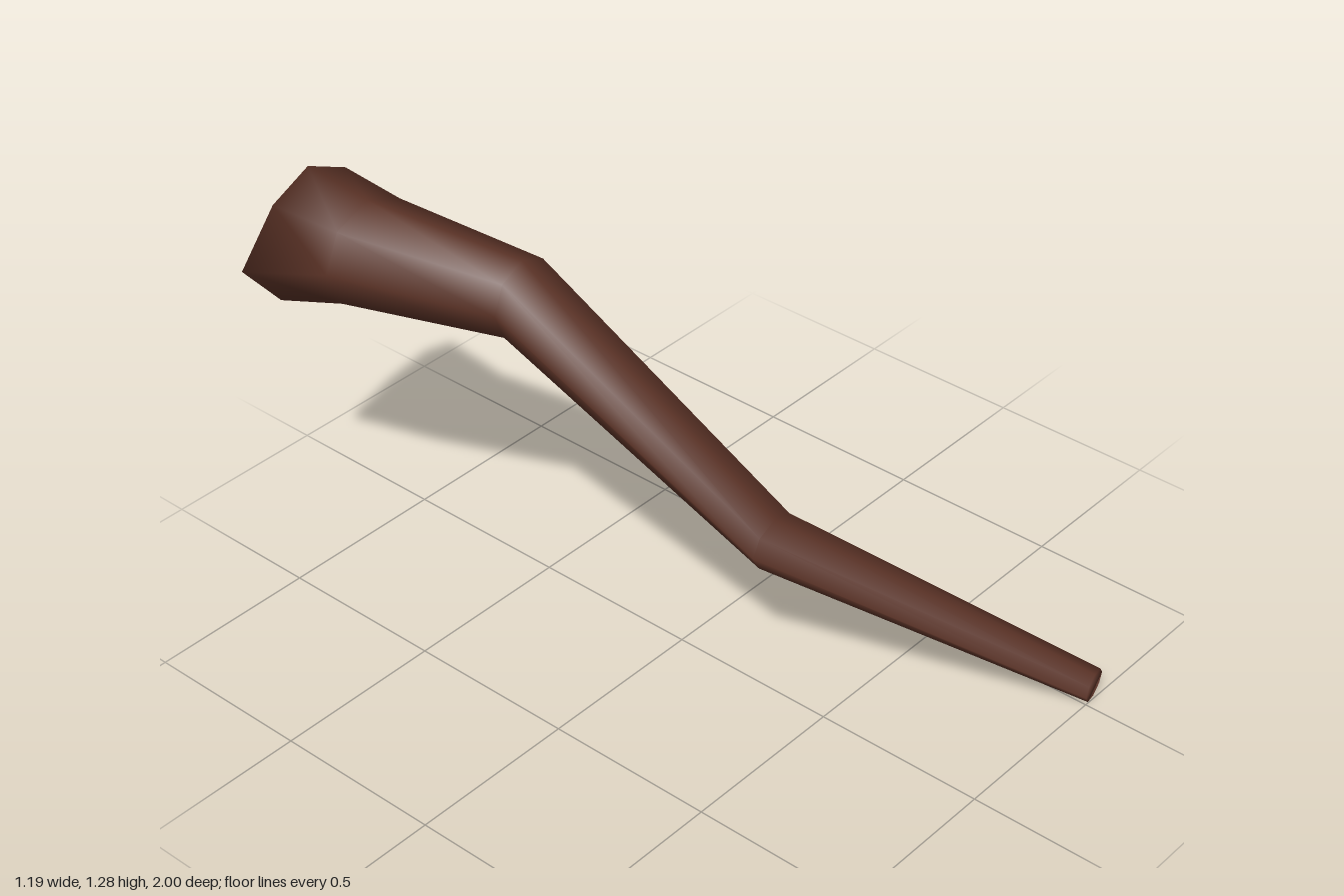
import * as THREE from 'three';

const SIDES = 8;

// Cross-sections from the thin tip to the thick end: centre, radii, and optional
// left-side stretch and tilt of the ring.
const RINGS = [
  { c: [0.545, 0.041, 0.993], rx: 0.046, ry: 0.036, tiltY: 0.3, tiltZ: -0.16 },
  { c: [0.008, 0.495, 0.312], rx: 0.0975, ry: 0.068, tiltZ: -0.1 },
  { c: [-0.213, 1.072, -0.355], rx: 0.115, ry: 0.113, tiltZ: -0.06 },
  { c: [-0.37, 1.128, -0.75], rx: 0.16, ry: 0.153 },
  { c: [-0.345, 1.07, -1], rx: 0.185, ry: 0.207, left: 0.255 },
];

function loftGeometry(rings) {
  const positions = [];
  const index = [];
  for (const { c, rx, ry, left = rx, tiltY = 0, tiltZ = 0 } of rings) {
    for (let j = 0; j < SIDES; j++) {
      const a = (j / SIDES) * Math.PI * 2;
      // only the outermost left corner is stretched
      const dx = Math.cos(a) * (j === SIDES / 2 ? left : rx);
      positions.push(c[0] + dx, c[1] + Math.sin(a) * ry + dx * tiltY, c[2] + dx * tiltZ);
    }
  }
  // side walls
  for (let i = 0; i < rings.length - 1; i++) {
    for (let j = 0; j < SIDES; j++) {
      const k = (j + 1) % SIDES;
      const a = i * SIDES + j, b = i * SIDES + k;
      index.push(a, a + SIDES, b, b, a + SIDES, b + SIDES);
    }
  }
  // end caps share the rim so shading stays smooth
  const last = (rings.length - 1) * SIDES;
  for (let j = 1; j < SIDES - 1; j++) {
    index.push(0, j, j + 1);
    index.push(last, last + j + 1, last + j);
  }
  const geometry = new THREE.BufferGeometry();
  geometry.setAttribute('position', new THREE.Float32BufferAttribute(positions, 3));
  geometry.setIndex(index);
  geometry.computeVertexNormals();
  return geometry;
}

export function createModel() {
  const group = new THREE.Group();
  group.name = 'crookedBranch';
  const bark = new THREE.MeshStandardMaterial({ color: 0x5a3226 });
  bark.name = 'darkBrown';
  const branch = new THREE.Mesh(loftGeometry(RINGS), bark);
  branch.name = 'branch';
  group.add(branch);
  return group;
}
